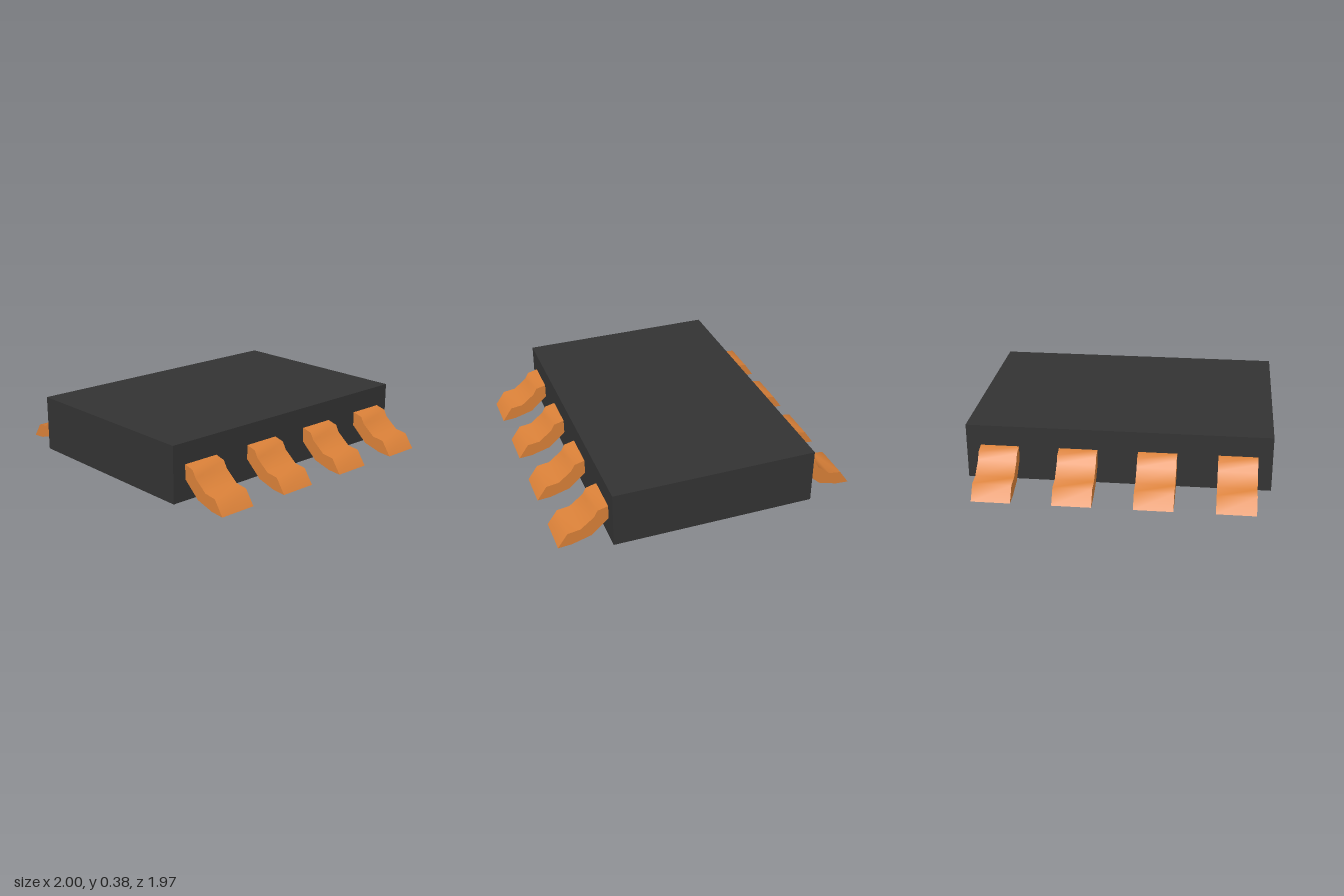
import * as THREE from 'three';
import { toCreasedNormals } from 'three/addons/utils/BufferGeometryUtils.js';

const LEAD_WIDTH = 0.25;

// Gull-wing lead: bent side profile, extruded along z and centred
function leadGeometry() {
  const profile = [
    [0.67, 0.145], [0.785, 0.043], [0.91, 0.007], [1, 0],
    [0.935, 0.094], [0.853, 0.105], [0.765, 0.175], [0.74, 0.22], [0.67, 0.238],
  ].map(([x, y]) => new THREE.Vector2(x, y));
  const geometry = new THREE.ExtrudeGeometry(new THREE.Shape(profile), {
    depth: LEAD_WIDTH, bevelEnabled: false,
  });
  geometry.translate(0, 0, -LEAD_WIDTH / 2);
  return toCreasedNormals(geometry, 1.1);
}

export function createModel() {
  const model = new THREE.Group();
  model.name = 'chipPackage';

  // Plastic body
  const body = new THREE.Mesh(
    new THREE.BoxGeometry(1.344, 0.37, 1.965),
    new THREE.MeshStandardMaterial({ color: 0x333333 }),
  );
  body.name = 'body';
  body.position.y = 0.19;
  model.add(body);

  // Four leads on each side
  const geometry = leadGeometry();
  const copper = new THREE.MeshStandardMaterial({ color: 0xd98038 });
  for (const side of ['left', 'right']) {
    const row = new THREE.Group();
    row.name = `${side}Leads`;
    for (let i = 0; i < 4; i++) {
      const lead = new THREE.Mesh(geometry, copper);
      lead.name = `${side}Lead${i + 1}`;
      lead.position.z = (i - 1.5) * 0.51;
      row.add(lead);
    }
    if (side === 'right') row.rotation.y = Math.PI;
    model.add(row);
  }
  return model;
}
